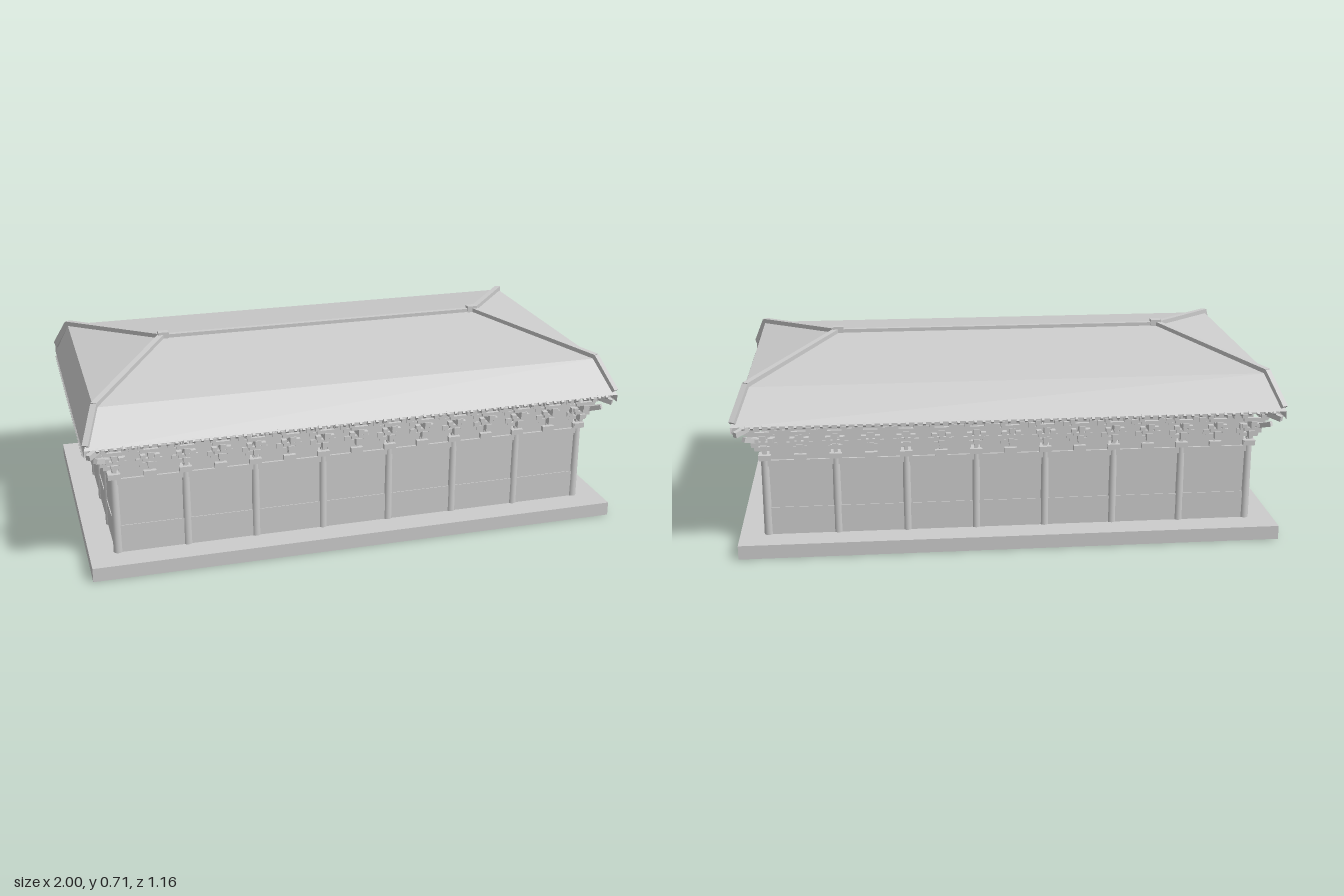
import * as THREE from 'three';
import { mergeGeometries } from 'three/addons/utils/BufferGeometryUtils.js';

const mat = new THREE.MeshStandardMaterial({ color: 0xcccccc, flatShading: true });
const thin = new THREE.MeshStandardMaterial({ color: 0xcccccc, flatShading: true, side: THREE.DoubleSide });
const smooth = new THREE.MeshStandardMaterial({ color: 0xcccccc });

// Box given by centre and size
const box = (w, h, d, x, y, z) => new THREE.BoxGeometry(w, h, d).translate(x, y, z);

function add(parent, name, geometry, material = mat) {
  const m = new THREE.Mesh(geometry, material);
  m.name = name;
  parent.add(m);
  return m;
}

// Square bar running between two points, its top kept upright
function bar(a, b, w, h) {
  const dir = b.clone().sub(a);
  const m = new THREE.Matrix4().lookAt(b, a, new THREE.Vector3(0, 1, 0));
  return new THREE.BoxGeometry(w, h, dir.length())
    .applyMatrix4(m)
    .translate((a.x + b.x) / 2, (a.y + b.y) / 2, (a.z + b.z) / 2);
}

// Bracket set: stepped arms along the wall and outward (+z)
function bracketGeometry() {
  const p = [box(0.045, 0.02, 0.04, 0, 0.352, 0), box(0.014, 0.12, 0.014, 0, 0.41, 0)];
  const tiers = [
    { y: 0.382, half: 0.036, reach: 0.032 },
    { y: 0.428, half: 0.05, reach: 0.06 },
  ];
  for (const { y, half, reach } of tiers) {
    p.push(box(half * 2, 0.015, 0.014, 0, y, 0));
    p.push(box(0.014, 0.015, reach * 2, 0, y, 0));
    for (const s of [-1, 1]) {
      p.push(box(0.022, 0.018, 0.022, s * half, y + 0.016, 0));
      p.push(box(0.022, 0.018, 0.022, 0, y + 0.016, s * reach));
      // crosswise arm carried by the outward arm
      p.push(box(half * 1.5, 0.013, 0.012, 0, y + 0.03, s * reach));
      for (const e of [-1, 1])
        p.push(box(0.018, 0.014, 0.018, e * half * 0.7, y + 0.043, s * reach));
    }
  }
  return mergeGeometries(p);
}

// One facade facing +z: walls, beams, brackets, rafters
function facade({ half, dist, bays, eave, eaveY, infill }, bracket) {
  const g = new THREE.Group();
  const step = (half * 2) / bays;
  const walls = [], panels = [], rafters = [];
  for (let i = 0; i < bays; i++) {
    const x = -half + step * (i + 0.5);
    walls.push(box(step, 0.106, 0.02, x, 0.104, dist));
    walls.push(box(step, 0.165, 0.014, x, 0.238, dist));
    walls.push(box(step, 0.022, 0.024, x, 0.329, dist));
    if (infill) panels.push(box(step - 0.036, 0.16, 0.008, x, 0.42, dist));
  }
  add(g, 'wallPanels', mergeGeometries(walls));
  if (infill) add(g, 'bracketInfill', mergeGeometries(panels));
  for (let i = 0; i <= bays * 2; i++)
    add(g, 'bracketSet', bracket).position.set(-half + (step * i) / 2, 0, dist);
  add(g, 'purlins', mergeGeometries([
    box(half * 2, 0.016, 0.016, 0, 0.474, dist),
    box(half * 2 + 0.1, 0.014, 0.014, 0, 0.485, dist + 0.055),
  ]));
  // rafter ends under the eave edge
  const n = Math.round((eaveHalf(half) * 2) / 0.03);
  for (let i = 0; i <= n; i++) {
    const x = -eaveHalf(half) + (eaveHalf(half) * 2 * i) / n;
    rafters.push(bar(new THREE.Vector3(x, eaveY - 0.003, eave + 0.003),
      new THREE.Vector3(x, eaveY + 0.045, eave - 0.05), 0.01, 0.01));
  }
  add(g, 'rafterEnds', mergeGeometries(rafters));
  return g;
}
const eaveHalf = (half) => half + 0.06;

// Four-sided roof with two pitches
function roofGeometry() {
  const pos = [];
  const quad = (a, b, c, d) => pos.push(...a, ...b, ...c, ...a, ...c, ...d);
  const E = [0.995, 0.573], B = [0.945, 0.478], R = 0.63, top = 0.69, by = 0.618;
  for (const s of [1, -1]) {
    const L = (x, y, z) => [x * s, y, z * s];
    // long slopes
    quad(L(-E[0], 0.5, E[1]), L(E[0], 0.5, E[1]), L(B[0], by, B[1]), L(-B[0], by, B[1]));
    quad(L(-B[0], by, B[1]), L(B[0], by, B[1]), L(R, top, 0), L(-R, top, 0));
    // hipped ends
    quad(L(E[0], 0.472, E[1]), L(E[0], 0.472, -E[1]), L(B[0], by, -B[1]), L(B[0], by, B[1]));
    pos.push(...L(B[0], by, B[1]), ...L(B[0], by, -B[1]), ...L(R, top, 0));
    // corner closures
    pos.push(...L(E[0], 0.5, E[1]), ...L(E[0], 0.472, E[1]), ...L(B[0], by, B[1]));
    pos.push(...L(E[0], 0.472, -E[1]), ...L(E[0], 0.5, -E[1]), ...L(B[0], by, -B[1]));
  }
  const g = new THREE.BufferGeometry();
  g.setAttribute('position', new THREE.Float32BufferAttribute(pos, 3));
  g.computeVertexNormals();
  return g;
}

export function createModel() {
  const model = new THREE.Group();
  model.name = 'hall';
  add(model, 'platform', box(1.99, 0.052, 1.15, 0, 0.026, 0));

  // Facades
  const bracket = bracketGeometry();
  const long = { half: 0.89, dist: 0.465, bays: 7, eave: 0.573, eaveY: 0.495, infill: true };
  const short = { half: 0.465, dist: 0.89, bays: 4, eave: 0.995, eaveY: 0.467, infill: false };
  ['front', 'left', 'back', 'right'].forEach((name, i) => {
    const side = facade(i % 2 ? short : long, bracket);
    side.name = name + 'Facade';
    side.rotation.y = (i * Math.PI) / 2;
    model.add(side);
  });

  // Columns around the outline
  const column = new THREE.CylinderGeometry(0.015, 0.017, 0.29, 16).translate(0, 0.197, 0);
  for (let i = 0; i <= 7; i++)
    for (let j = 0; j <= 4; j++)
      if (i % 7 === 0 || j % 4 === 0)
        add(model, 'column', column, smooth).position.set(-0.89 + (i * 1.78) / 7, 0, -0.465 + (j * 0.93) / 4);

  // Roof
  add(model, 'roof', roofGeometry(), thin);
  add(model, 'mainRidge', box(1.26, 0.024, 0.02, 0, 0.69, 0));
  const V = (x, y, z) => new THREE.Vector3(x, y, z);
  for (const sx of [-1, 1]) {
    add(model, 'ridgeEnd', box(0.04, 0.036, 0.028, sx * 0.625, 0.694, 0));
    for (const sz of [-1, 1]) {
      const p = (x, y, z) => V(x * sx, y, z * sz);
      add(model, 'hipRidge', mergeGeometries([
        bar(p(0.63, 0.692, 0), p(0.943, 0.622, 0.476), 0.022, 0.024),
        bar(p(0.94, 0.624, 0.472), p(0.986, 0.51, 0.562), 0.022, 0.026),
      ]));
      // diagonal beam and tail under each corner
      add(model, 'cornerBeam', mergeGeometries([
        bar(p(0.87, 0.4, 0.445), p(0.955, 0.44, 0.53), 0.016, 0.018),
        bar(p(0.89, 0.49, 0.465), p(0.982, 0.468, 0.56), 0.018, 0.02),
      ]));
    }
  }
  return model;
}
